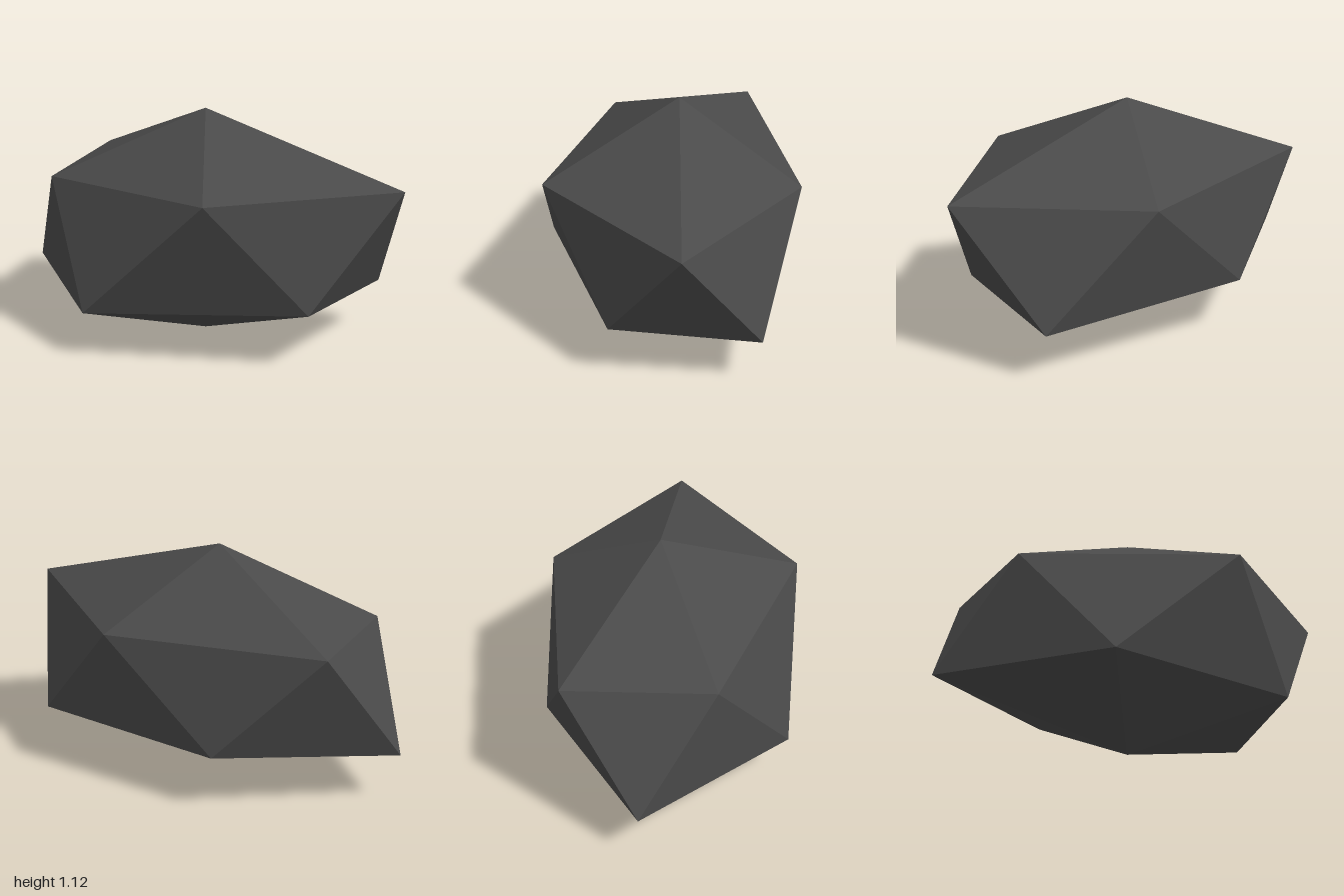
import * as THREE from 'three';

// Rock: a stretched twenty-sided stone, two offset rings of five corners between a peak and a foot
export function createModel() {
  const stone = new THREE.MeshStandardMaterial({ color: 0x4a4a4a });
  stone.name = 'darkStone';

  const peak = [-0.03, 1.125, -0.04];
  const foot = [-0.03, 0, -0.04];
  const upper = [
    [0.995, 0.83, -0.04], [0.28, 0.825, 0.6], [-0.71, 0.78, 0.29],
    [-0.79, 0.805, -0.41], [0.255, 0.795, -0.61],
  ];
  const lower = [
    [0.67, 0.28, 0.295], [-0.35, 0.23, 0.61], [-1, 0.25, -0.04],
    [-0.295, 0.285, -0.575], [0.745, 0.255, -0.415],
  ];

  // Cap, zigzag band and underside, one sector at a time
  const positions = [];
  const face = (...corners) => corners.forEach((c) => positions.push(...c));
  for (let i = 0; i < 5; i++) {
    const j = (i + 1) % 5;
    face(peak, upper[j], upper[i]);
    face(upper[i], upper[j], lower[i]);
    face(lower[j], lower[i], upper[j]);
    face(foot, lower[i], lower[j]);
  }

  // Unshared corners give each facet its own flat normal
  const geometry = new THREE.BufferGeometry();
  geometry.setAttribute('position', new THREE.Float32BufferAttribute(positions, 3));
  geometry.computeVertexNormals();

  const rock = new THREE.Mesh(geometry, stone);
  rock.name = 'rock';
  const group = new THREE.Group();
  group.name = 'boulder';
  group.add(rock);
  return group;
}
